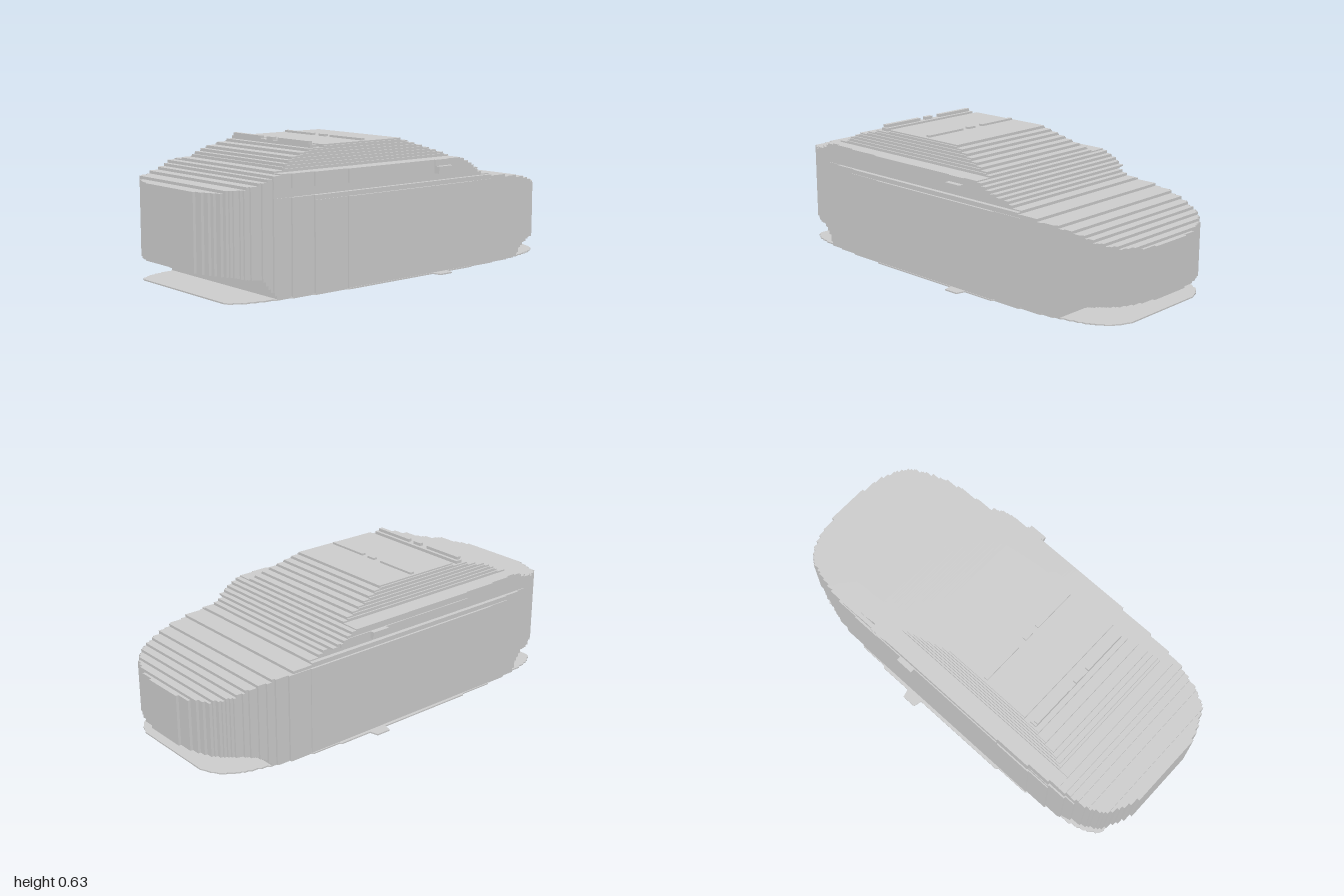
import * as THREE from 'three';

// Piecewise-linear lookup through [x, value] points
function lookup(points, x) {
  for (let i = 1; i < points.length; i++) {
    const [x0, v0] = points[i - 1], [x1, v1] = points[i];
    if (x <= x1) return v0 + (v1 - v0) * Math.max(0, (x - x0) / (x1 - x0));
  }
  return points[points.length - 1][1];
}
const snap = (v, step) => Math.round(v / step) * step;

// Side outline: upper and lower edge along the car
const TOP = [[-1, 0.45], [-0.9, 0.46], [-0.84, 0.475], [-0.78, 0.49], [-0.74, 0.51], [-0.67, 0.53],
  [-0.61, 0.567], [-0.54, 0.585], [-0.47, 0.6], [-0.38, 0.61], [-0.25, 0.613], [0.02, 0.61], [0.1, 0.587],
  [0.2, 0.553], [0.3, 0.515], [0.4, 0.465], [0.48, 0.422], [0.55, 0.415], [0.7, 0.395], [0.8, 0.375],
  [0.9, 0.345], [1, 0.31]];
const BOTTOM = [[-1, 0.115], [-0.91, 0.11], [-0.88, 0.1], [-0.8, 0.09], [-0.77, 0.05], [-0.73, 0.004],
  [0.72, 0.004], [0.74, 0.03], [0.78, 0.055], [0.83, 0.07], [0.88, 0.08], [1, 0.08]];
// Half width seen from above
const PLAN = [[-1, 0.17], [-0.97, 0.26], [-0.93, 0.33], [-0.87, 0.37], [-0.8, 0.385], [-0.72, 0.4],
  [-0.5, 0.42], [-0.25, 0.43], [0.3, 0.43], [0.45, 0.42], [0.6, 0.41], [0.7, 0.395], [0.8, 0.37],
  [0.87, 0.345], [0.92, 0.31], [0.95, 0.27], [0.98, 0.19], [1, 0.08]];

// side is +1 for the +z flank, -1 for the -z flank
function halfWidth(x, side) {
  if (x > 0.13 && x < 0.21) return side > 0 ? 0.46 : 0.47; // mirror tabs
  return snap(lookup(PLAN, x), 0.01) - (side > 0 ? 0.012 : 0);
}

// End section as terraces: [from y, to y, half width]
const BANDS = [[0, 0.4, 0.415], [0.4, 0.42, 0.405], [0.42, 0.457, 0.385], [0.457, 0.47, 0.445],
  [0.47, 0.49, 0.45], [0.49, 0.518, 0.425]];
for (let y = 0.518; y < 0.63; y += 0.0125) BANDS.push([y, y + 0.0125, 0.34 - (y - 0.518) * 0.6]);

function section(x, xMid) {
  const top = snap(lookup(TOP, xMid), 0.0125), bottom = lookup(BOTTOM, xMid);
  const flank = side => {
    const plan = halfWidth(xMid, side), pts = [];
    let last = 1;
    for (const [y0, y1, w] of BANDS) {
      const width = Math.min(plan, w);
      last = y0 < top ? width : Math.min(last, width); // nothing widens above the surface
      for (const y of [y0, y1]) {
        pts.push(new THREE.Vector3(x, THREE.MathUtils.clamp(y, bottom, top), side * last));
      }
    }
    return pts;
  };
  return [...flank(1), ...flank(-1).reverse()];
}

// Stepped loft through the sections, with closed ends
function bodyGeometry() {
  const rings = [], cells = 160, pos = [];
  for (let i = 0; i < cells; i++) {
    const x0 = -1 + (2 * i) / cells, x1 = -1 + (2 * (i + 1)) / cells, mid = (x0 + x1) / 2;
    rings.push(section(x0, mid), section(x1, mid));
  }
  const tri = (a, b, c) => {
    const area = b.clone().sub(a).cross(c.clone().sub(a)).length();
    if (area > 1e-9) for (const p of [a, b, c]) pos.push(p.x, p.y, p.z);
  };
  const n = rings[0].length;
  for (let i = 0; i + 1 < rings.length; i++) {
    for (let j = 0; j < n; j++) {
      const k = (j + 1) % n, A = rings[i], B = rings[i + 1];
      tri(A[j], B[j], B[k]);
      tri(A[j], B[k], A[k]);
    }
  }
  const first = rings[0], end = rings[rings.length - 1];
  const c0 = new THREE.Vector3(-1, 0.28, 0), c1 = new THREE.Vector3(1, 0.2, 0);
  for (let j = 0; j < n; j++) {
    const k = (j + 1) % n;
    tri(c0, first[j], first[k]);
    tri(c1, end[k], end[j]);
  }
  const geo = new THREE.BufferGeometry();
  geo.setAttribute('position', new THREE.Float32BufferAttribute(pos, 3));
  geo.computeVertexNormals();
  return geo;
}

// Thin plate under the car, following the plan outline
function plateGeometry() {
  const near = [], far = [];
  for (let x = -0.94; x <= 0.971; x += 0.01) {
    near.push(new THREE.Vector2(x, -halfWidth(x, 1)));
    far.push(new THREE.Vector2(x, halfWidth(x, -1)));
  }
  const shape = new THREE.Shape([...near, ...far.reverse()]);
  const geo = new THREE.ExtrudeGeometry(shape, { depth: 0.006, bevelEnabled: false });
  return geo.rotateX(-Math.PI / 2);
}

export function createModel() {
  const group = new THREE.Group();
  const material = new THREE.MeshStandardMaterial({ color: 0xcccccc, flatShading: true });
  const add = (name, geo) => {
    const mesh = new THREE.Mesh(geo, material);
    mesh.name = name;
    group.add(mesh);
    return mesh;
  };
  const box = (name, x0, x1, y0, y1, z0, z1) =>
    add(name, new THREE.BoxGeometry(x1 - x0, y1 - y0, z1 - z0))
      .position.set((x0 + x1) / 2, (y0 + y1) / 2, (z0 + z1) / 2);

  add('carBody', bodyGeometry());
  add('groundPlate', plateGeometry());

  // Roof ridges, each split into three
  box('rearRidgeBase', -0.475, -0.44, 0.59, 0.614, -0.285, 0.28);
  for (const [z0, z1] of [[-0.275, -0.07], [-0.025, 0.02], [0.055, 0.27]]) {
    box('rearRoofRidge', -0.475, -0.455, 0.6, 0.628, z0, z1);
    box('midRoofRidge', -0.18, -0.16, 0.6, 0.622, z0, z1);
  }
  return group;
}
